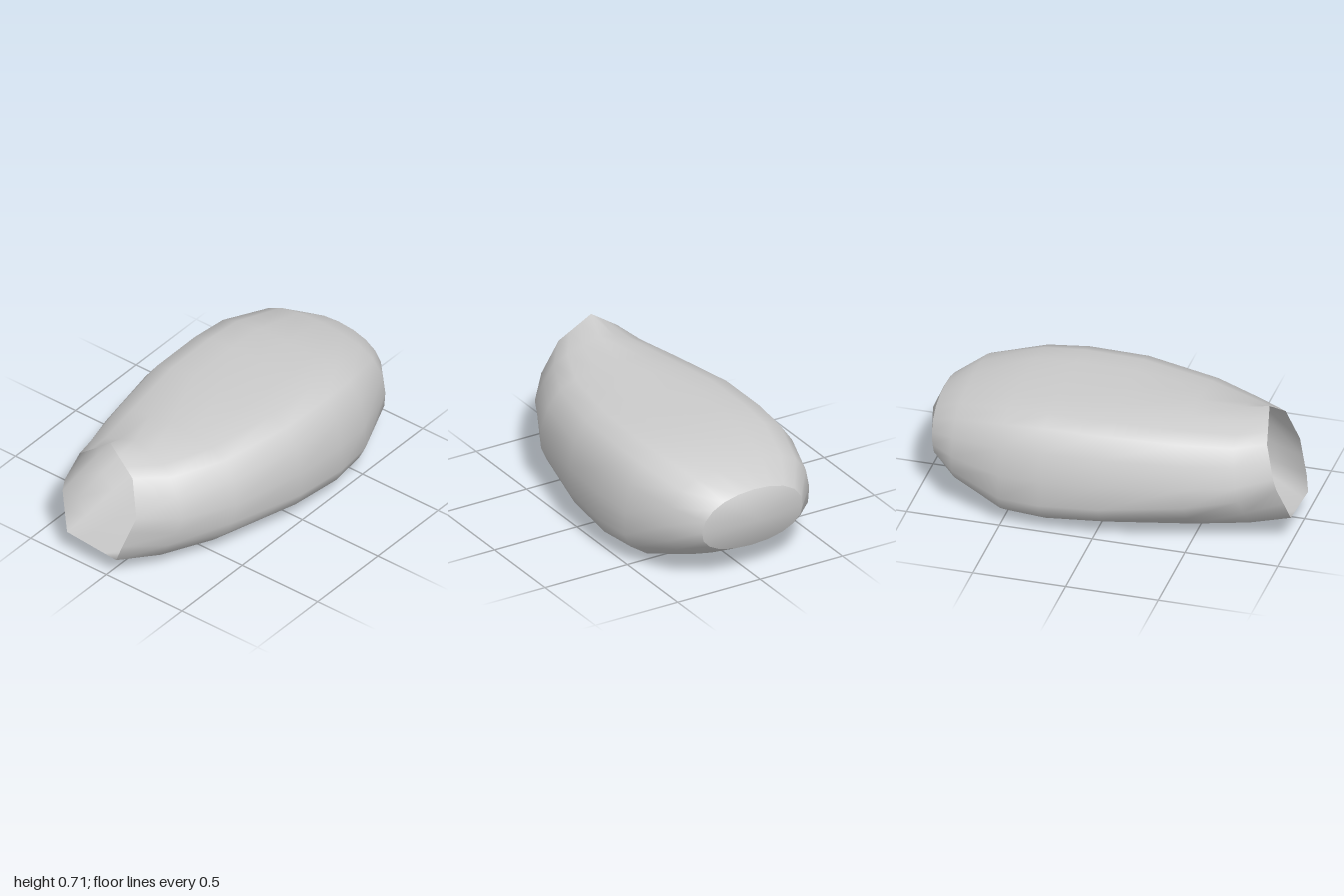
import * as THREE from 'three';

const N = 20; // points around each cross-section
const lerp = THREE.MathUtils.lerp;

// Body section in unit box (u -1..1, v 0..1), right half from top to bottom
const half = [[0, 1], [0.35, 0.995], [0.62, 0.975], [0.8, 0.92], [0.94, 0.75], [0.985, 0.5],
  [1, 0.28], [0.93, 0.15], [0.75, 0.045], [0.45, 0.01], [0, 0]];
const bodyPoint = i => (i <= 10 ? half[i] : [-half[N - i][0], half[N - i][1]]);

// Front opening: polygon corners as [section index, x, y]
const mouth = [[0, -0.1, 0.715], [3, 0.075, 0.59], [5, 0.145, 0.395], [8, 0.065, 0.13],
  [12, -0.26, 0.16], [14, -0.335, 0.36], [15, -0.335, 0.42], [17, -0.275, 0.59], [20, -0.1, 0.715]];
function mouthPoint(i) {
  const k = mouth.findIndex((m, n) => n > 0 && i <= m[0]);
  const a = mouth[k - 1], b = mouth[k], t = (i - a[0]) / (b[0] - a[0]);
  return [(lerp(a[1], b[1], t) + 0.095) / 0.24, (lerp(a[2], b[2], t) - 0.13) / 0.585];
}

// Rounded tail section, widest slightly below the middle
function tailPoint(i) {
  const a = (i / N) * Math.PI * 2, c = Math.cos(a);
  return [Math.sin(a), 0.45 + c * (c > 0 ? 0.55 : 0.45)];
}

// Rings: z, tilt, xMin, xMax, yMin, yMax, mouth weight, tail weight
const rings = [
  [1.0, 0.16, -0.335, 0.145, 0.13, 0.715, 1, 0],
  [0.79, 0.1, -0.405, 0.3, 0.093, 0.662, 0.7, 0],
  [0.5, 0.07, -0.475, 0.44, 0.068, 0.642, 0.35, 0],
  [0.04, 0, -0.54, 0.53, 0.035, 0.64, 0.05, 0],
  [-0.28, 0, -0.543, 0.54, 0.006, 0.636, 0, 0],
  [-0.5, 0, -0.53, 0.52, 0.008, 0.628, 0, 0.1],
  [-0.78, 0, -0.435, 0.43, 0.1, 0.59, 0, 0.5],
  [-0.9, 0.035, -0.31, 0.3, 0.16, 0.5, 0, 0.8],
];

function ringPoints([z, tilt, x0, x1, y0, y1, wMouth, wTail]) {
  return Array.from({ length: N }, (_, i) => {
    const b = bodyPoint(i), m = mouthPoint(i), t = tailPoint(i);
    const [u, v] = [0, 1].map(k => lerp(lerp(b[k], m[k], wMouth), t[k], wTail));
    const lift = Math.max(0, v - 0.06) / 0.94;
    return new THREE.Vector3(lerp(x0, x1, (u + 1) / 2), lerp(y0, y1, v), z - tilt * lift);
  });
}

function smoothGeometry(points, index) {
  const g = new THREE.BufferGeometry().setFromPoints(points);
  g.setIndex(index);
  g.computeVertexNormals();
  return g;
}

export function createModel() {
  const group = new THREE.Group();
  const material = new THREE.MeshStandardMaterial({ color: 0xcccccc, side: THREE.DoubleSide });
  const add = (name, geometry) => {
    const mesh = new THREE.Mesh(geometry, material);
    mesh.name = name;
    group.add(mesh);
  };

  // Hollow shell lofted through the rings, open at the front
  const sections = rings.map(ringPoints);
  const index = [];
  for (let r = 0; r < rings.length - 1; r++) {
    for (let i = 0; i < N; i++) {
      const a = r * N + i, b = r * N + ((i + 1) % N);
      index.push(a, b, a + N, b, b + N, a + N);
    }
  }
  add('shell', smoothGeometry(sections.flat(), index));

  // Shallow pointed cap closing the back, with a crisp rim
  const rim = sections[sections.length - 1];
  const fan = [];
  for (let i = 0; i < N; i++) fan.push(i, (i + 1) % N, N);
  add('backCap', smoothGeometry([...rim, new THREE.Vector3(0, 0.35, -1)], fan));

  return group;
}
